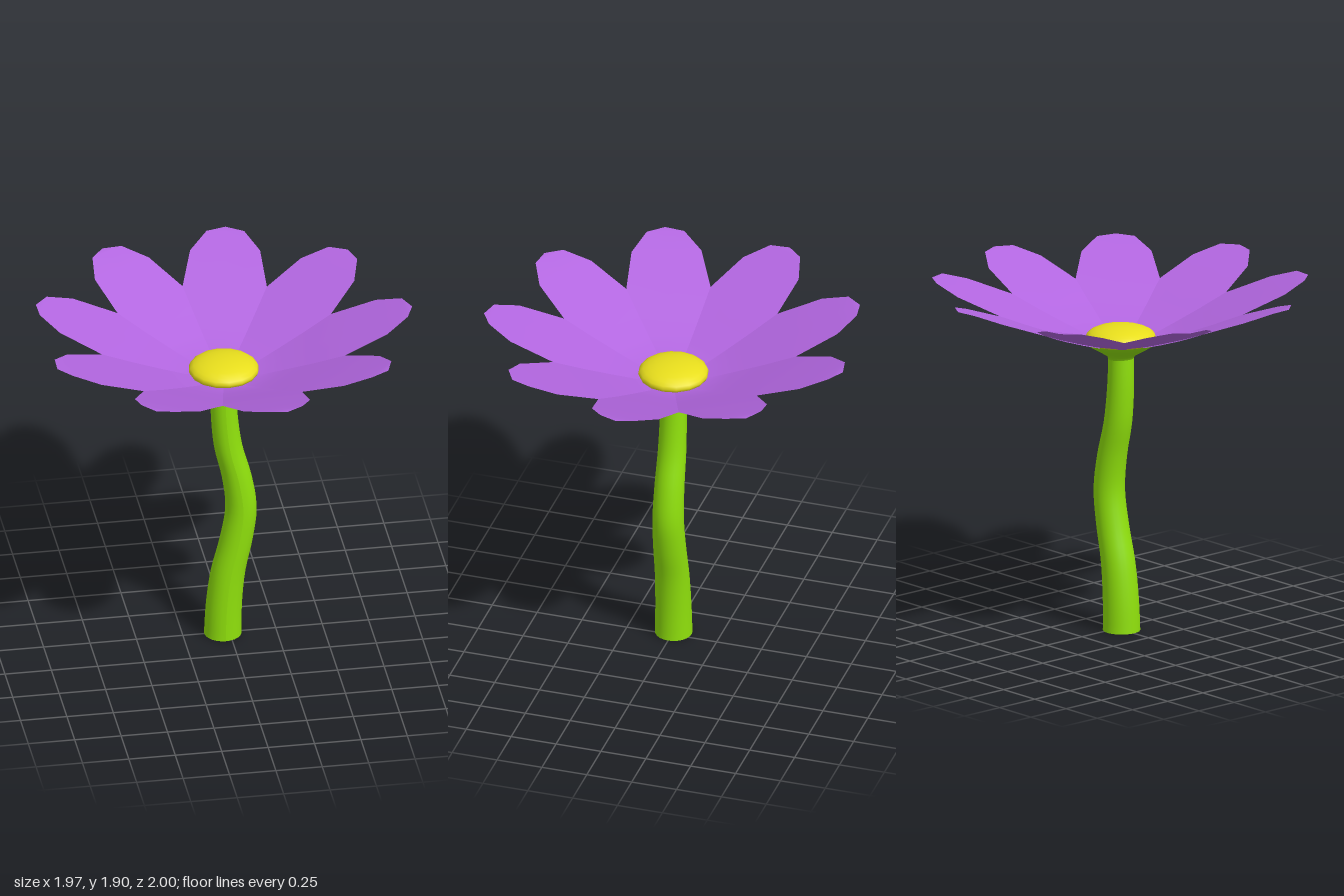
import * as THREE from 'three';

const HEAD_X = -0.03; // the flower head sits slightly off the axis
const PETALS = 9;

function material(color, side = THREE.FrontSide) {
  return new THREE.MeshStandardMaterial({ color, side });
}

function addMesh(parent, name, geometry, mat) {
  const mesh = new THREE.Mesh(geometry, mat);
  mesh.name = name;
  parent.add(mesh);
  return mesh;
}

// Tapered cylinder whose rings are shifted sideways along an S-curve
function stemGeometry() {
  const height = 1.52;
  const geo = new THREE.CylinderGeometry(0.068, 0.1, height, 24, 32);
  geo.translate(0, height / 2, 0);
  const offsets = [-0.035, -0.028, -0.006, 0.037, 0.063, 0.04, -0.006, -0.027, -0.032];
  const curve = new THREE.SplineCurve(offsets.map((x, i) => new THREE.Vector2(x, i * 0.19)));
  const pos = geo.attributes.position;
  for (let i = 0; i < pos.count; i++) {
    const t = THREE.MathUtils.clamp(pos.getY(i) / height, 0, 1);
    pos.setX(i, pos.getX(i) + curve.getPoint(t).x);
  }
  geo.computeVertexNormals();
  return geo;
}

// Thin petal along +x: rows of [distance, height, half width]
function petalGeometry() {
  const rows = [
    [0.05, 1.59, 0.03], [0.19, 1.6, 0.09], [0.32, 1.647, 0.15],
    [0.46, 1.7, 0.198], [0.61, 1.762, 0.225], [0.85, 1.85, 0.186],
    [0.975, 1.897, 0.1], [1.015, 1.9, 0],
  ];
  const positions = [];
  const index = [];
  rows.forEach(([r, y, w], i) => {
    positions.push(r, y, -w, r, y, 0, r, y, w);
    if (i === 0) return;
    for (let j = 0; j < 2; j++) {
      const a = (i - 1) * 3 + j;
      const b = a + 3;
      index.push(a, a + 1, b, a + 1, b + 1, b);
    }
  });
  const geo = new THREE.BufferGeometry();
  geo.setAttribute('position', new THREE.Float32BufferAttribute(positions, 3));
  geo.setIndex(index);
  geo.computeVertexNormals();
  return geo;
}

export function createModel() {
  const flower = new THREE.Group();
  flower.name = 'flower';
  const green = material(0x8fe00c);

  addMesh(flower, 'stem', stemGeometry(), green);

  const head = new THREE.Group();
  head.name = 'flowerHead';
  head.position.x = HEAD_X;
  flower.add(head);

  // Cup under the petals
  const cup = [[0.066, 1.49], [0.075, 1.515], [0.13, 1.548], [0.175, 1.575], [0.195, 1.597]];
  addMesh(head, 'calyx',
    new THREE.LatheGeometry(cup.map(([r, y]) => new THREE.Vector2(r, y)), 24), green);

  // Ring of petals
  const petalGeo = petalGeometry();
  const purple = material(0xb266e0, THREE.DoubleSide);
  for (let i = 0; i < PETALS; i++) {
    const petal = addMesh(head, 'petal' + (i + 1), petalGeo, purple);
    petal.rotation.y = (i / PETALS) * Math.PI * 2;
  }

  // Flattened centre disc
  const centre = addMesh(head, 'centre', new THREE.SphereGeometry(0.188, 16, 12), material(0xe8de1c));
  centre.scale.y = 0.34;
  centre.position.y = 1.615;

  return flower;
}
